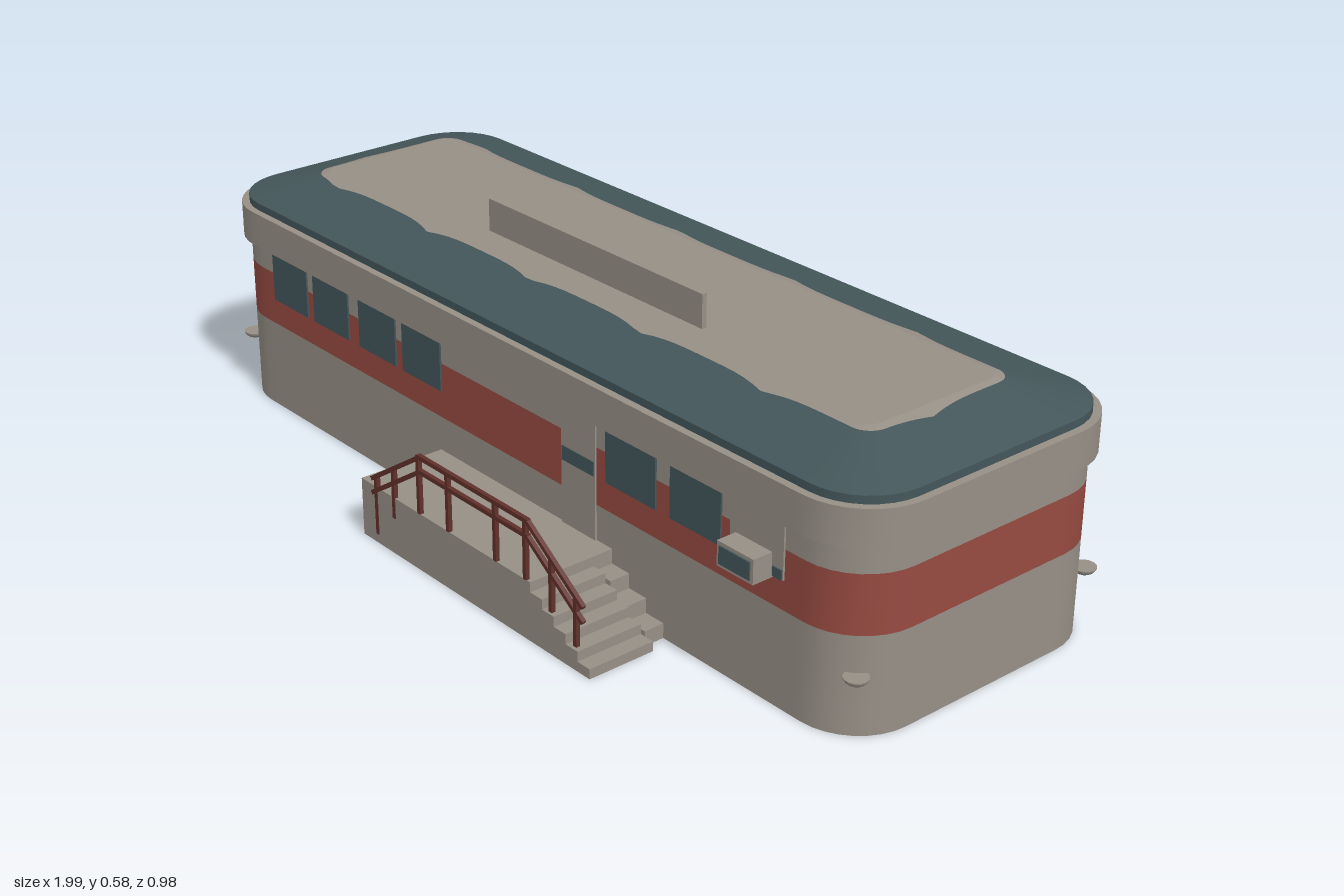
import * as THREE from 'three';
import { mergeGeometries } from 'three/addons/utils/BufferGeometryUtils.js';

const mat = (name, color, side = THREE.FrontSide) => {
  const m = new THREE.MeshStandardMaterial({ color, side });
  m.name = name;
  return m;
};

const ZC = -0.0375; // middle of the hull in depth

// Rounded rectangle ring at height y, with subdivided straight sides
function ring(hx, hz, r, y, arc = 8, side = 60) {
  const corners = [[1, 1], [-1, 1], [-1, -1], [1, -1]];
  const at = (k, a) => new THREE.Vector3(
    corners[k][0] * (hx - r) + r * Math.cos(a), y,
    ZC + corners[k][1] * (hz - r) + r * Math.sin(a));
  const pts = [];
  for (let k = 0; k < 4; k++) {
    const a0 = k * Math.PI / 2, a1 = a0 + Math.PI / 2;
    for (let i = 0; i <= arc; i++) pts.push(at(k, a0 + (a1 - a0) * i / arc));
    const from = at(k, a1), to = at((k + 1) % 4, a1);
    for (let i = 1; i < side; i++) pts.push(from.clone().lerp(to, i / side));
  }
  return pts;
}

const centre = (y, like) => like.map(() => new THREE.Vector3(0, y, ZC));

// Band between two rings of equal point count
function band(a, b) {
  const n = a.length, index = [];
  for (let i = 0; i < n; i++) {
    const j = (i + 1) % n;
    index.push(i, i + n, j, j, i + n, j + n);
  }
  const g = new THREE.BufferGeometry().setFromPoints([...a, ...b]);
  g.setIndex(index);
  g.computeVertexNormals();
  return g;
}
// Chain of bands, with sharp edges between them
const bands = (...rings) => mergeGeometries(rings.slice(1).map((r, i) => band(rings[i], r)));

// Hollow stair or landing: folded strip along a profile plus its outer wall
function shell(profile, zIn, zOut) {
  const pos = [];
  for (let i = 1; i < profile.length; i++) {
    const [ax, ay] = profile[i - 1], [bx, by] = profile[i];
    pos.push(ax, ay, zIn, ax, ay, zOut, bx, by, zOut, ax, ay, zIn, bx, by, zOut, bx, by, zIn);
  }
  const strip = new THREE.BufferGeometry();
  strip.setAttribute('position', new THREE.Float32BufferAttribute(pos, 3));
  strip.computeVertexNormals();
  const wall = new THREE.ShapeGeometry(new THREE.Shape(profile.map(p => new THREE.Vector2(...p)))).toNonIndexed();
  wall.deleteAttribute('uv');
  if (zOut < zIn) {
    // Turn the strip and wall to face the back
    for (const g of [strip, wall]) {
      const p = g.attributes.position;
      for (let i = 0; i < p.count; i += 3) {
        const a = new THREE.Vector3().fromBufferAttribute(p, i + 1);
        const b = new THREE.Vector3().fromBufferAttribute(p, i + 2);
        p.setXYZ(i + 1, b.x, b.y, b.z);
        p.setXYZ(i + 2, a.x, a.y, a.z);
      }
      g.computeVertexNormals();
    }
  }
  wall.translate(0, 0, zOut);
  return mergeGeometries([strip, wall]);
}

// Descending steps from (x, h), with run signed by direction
function steps(x, h, run, treads) {
  const pts = [];
  for (let k = 0; k <= treads; k++) {
    pts.push([x + run * k, h * (1 - k / (treads + 1))]);
    pts.push([x + run * k, h * (1 - (k + 1) / (treads + 1))]);
  }
  return pts;
}

export function createModel() {
  const group = new THREE.Group();
  const grey = mat('warm grey', 0x968f86, THREE.DoubleSide);
  const red = mat('brick red', 0x964a41);
  const slate = mat('dark slate', 0x44565a);
  const rust = mat('dark rust', 0x60302b);

  const add = (name, geo, material, x = 0, y = 0, z = 0) => {
    const m = new THREE.Mesh(geo, material);
    m.name = name;
    m.position.set(x, y, z);
    group.add(m);
    return m;
  };
  const block = (name, material, x0, x1, y0, y1, z0, z1) =>
    add(name, new THREE.BoxGeometry(x1 - x0, y1 - y0, z1 - z0), material,
      (x0 + x1) / 2, (y0 + y1) / 2, (z0 + z1) / 2);

  // Hull walls and floor
  const hull = y => ring(0.98, 0.3275, 0.13, y);
  add('lowerWall', band(hull(0), hull(0.2)), grey);
  add('redStripe', band(hull(0.2), hull(0.32)), red);
  add('upperWall', band(hull(0.32), hull(0.45)), grey);
  add('floor', band(centre(0.13, hull(0)), hull(0.13)), grey);

  // Cornice
  const lip = y => ring(0.996, 0.3435, 0.145, y);
  add('cornice', bands(hull(0.375), lip(0.375), lip(0.452), hull(0.452)), grey);

  // Hipped roof with a scalloped pale cover on top
  const eave = ring(0.98, 0.3275, 0.13, 0.468);
  const crest = ring(0.83, 0.168, 0.03, 0.51);
  add('roof', bands(hull(0.45), eave, crest, centre(0.51, crest)), slate);
  const scallop = crest.map((p, i) => {
    const along = Math.abs(Math.abs(p.z - ZC) - 0.168) < 0.004 ? p.x + 0.07 : p.z;
    const tip = (1 - Math.abs(Math.sin(Math.PI * along / 0.33))) ** 2;
    const q = p.clone().lerp(eave[i], 0.1 + 0.1 * tip);
    q.y += 0.003;
    return q;
  });
  const coverEdge = crest.map(p => p.clone().setY(0.513));
  add('roofCover', bands(scallop, coverEdge, centre(0.513, crest)), grey);
  block('roofBoard', grey, -0.31, 0.34, 0.505, 0.583, 0.062, 0.073);

  // Windows and doors: thin plates on the front and back walls
  const ZF = 0.29, ZB = -0.365;
  const front = (name, m, x0, x1, y0, y1, t = 0.004) => block(name, m, x0, x1, y0, y1, ZF - 0.002, ZF + t);
  const back = (name, m, x0, x1, y0, y1) => block(name, m, x0, x1, y0, y1, ZB - 0.004, ZB + 0.002);
  for (const [a, b] of [[-0.8, -0.67], [-0.645, -0.515], [-0.475, -0.345], [-0.32, -0.19], [0.325, 0.465], [0.505, 0.64]])
    front('frontWindow', slate, a, b, 0.26, 0.37);
  front('frontDoor', grey, 0.195, 0.295, 0.125, 0.375);
  front('doorPane', slate, 0.198, 0.292, 0.26, 0.29, 0.006);
  for (const [a, b] of [[0.7, 0.82], [0.53, 0.67], [0.365, 0.5], [-0.62, -0.48], [-0.78, -0.645]])
    back('backWindow', slate, a, b, 0.26, 0.37);
  for (const [a, b] of [[0.205, 0.34], [-0.44, -0.305]]) back('coveredWindow', slate, a, b, 0.26, 0.297);
  back('backDoor', slate, -0.27, -0.17, 0.127, 0.37);

  // Boarded window with an air conditioner
  front('windowBoard', grey, 0.665, 0.8, 0.26, 0.37);
  front('boardGap', slate, 0.775, 0.798, 0.26, 0.28, 0.006);
  block('airConditioner', grey, 0.68, 0.772, 0.255, 0.305, ZF, 0.338);
  block('airConditionerGrille', slate, 0.687, 0.765, 0.262, 0.298, 0.336, 0.341);

  // Front landing and stairs
  const H = 0.125;
  add('frontLanding', shell([[-0.2, 0], [-0.2, H], [0.34, H], [0.34, 0]], ZF, 0.485), grey);
  add('frontStairs', shell([[0.34, 0], ...steps(0.34, H, 0.034, 5)], 0.335, 0.485), grey);
  add('frontInnerStairs', shell([[0.34, 0], ...steps(0.34, H, 0.049, 3)], ZF, 0.335), grey);

  // Back landing with stairs at both ends
  add('backStairs', shell([...steps(-0.36, H, -0.05, 3).reverse(), ...steps(0.05, H, 0.0317, 3)], ZB, -0.49), grey);

  // Railing
  const bar = (name, x0, y0, x1, y1, w = 0.009) => {
    const len = Math.hypot(x1 - x0, y1 - y0);
    add(name, new THREE.BoxGeometry(len, w, w), rust, (x0 + x1) / 2, (y0 + y1) / 2, 0.482)
      .rotation.z = Math.atan2(y1 - y0, x1 - x0);
  };
  for (const y of [0.248, 0.217]) {
    bar('rail', -0.005, y, 0.335, y);
    bar('leftSlopedRail', -0.165, y - 0.11, 0, y);
    bar('rightSlopedRail', 0.33, y, 0.49, y - 0.11);
  }
  for (const [x, y0, y1] of [[-0.15, 0.02, 0.148], [-0.09, 0.08, 0.188], [-0.005, H, 0.25], [0.088, H, 0.25],
    [0.235, H, 0.25], [0.325, H, 0.25], [0.4, 0.09, 0.2], [0.47, 0.05, 0.152]])
    bar('railPost', x, y0, x, y1);

  // Small bowl lamps at the hull corners
  const bowl = new THREE.SphereGeometry(0.024, 14, 6, 0, Math.PI * 2, Math.PI / 2, Math.PI / 2);
  const lid = new THREE.CircleGeometry(0.024, 14).rotateX(-Math.PI / 2);
  const lamp = mergeGeometries([bowl, lid]).scale(1, 0.65, 1);
  for (const sx of [-1, 1]) for (const sz of [-1, 1])
    add('cornerLamp', lamp, grey, sx * 0.95, 0.127, ZC + sz * 0.297);

  return group;
}
